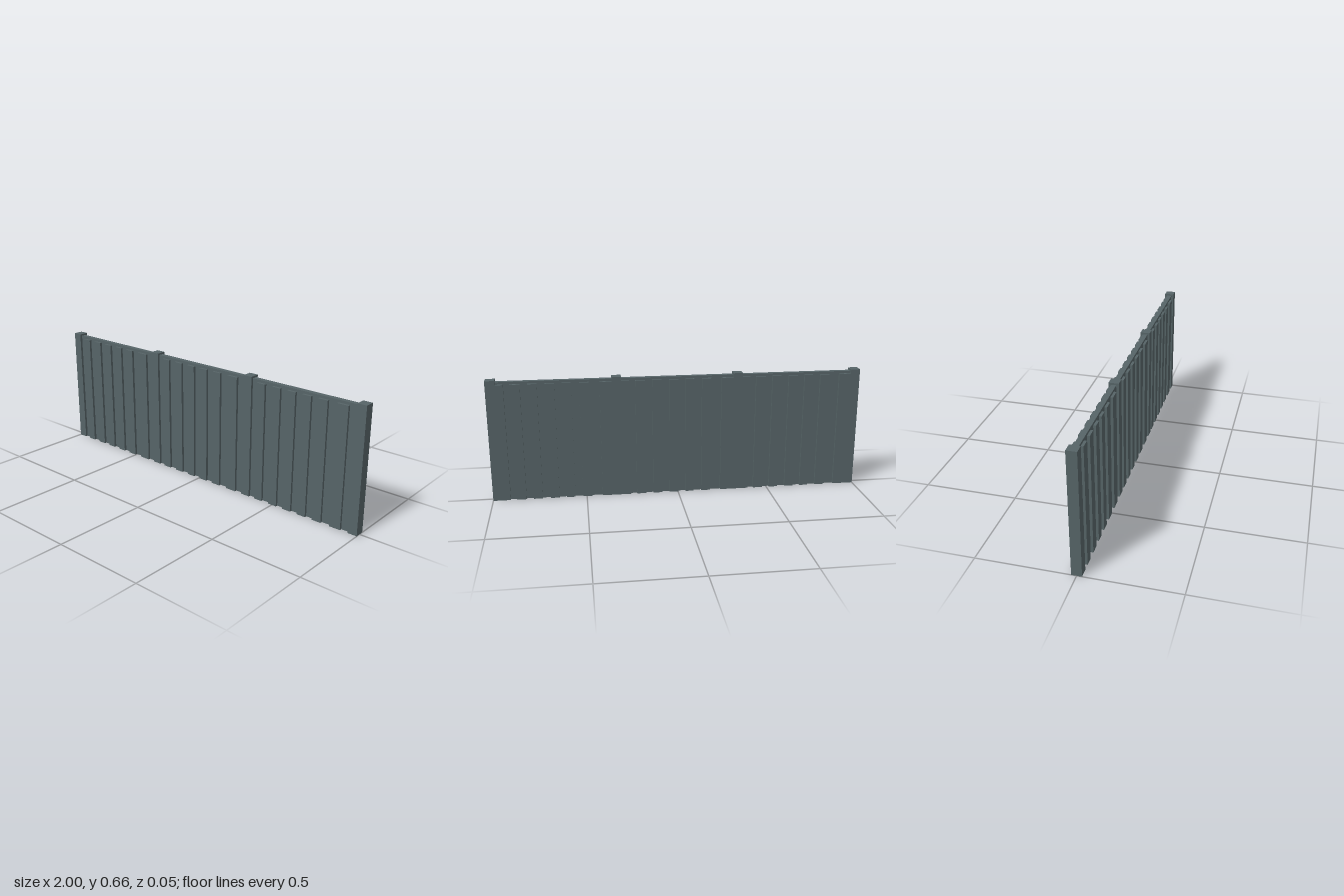
import * as THREE from 'three';

export function createModel() {
  const fence = new THREE.Group();
  fence.name = 'fence';
  const slate = new THREE.MeshStandardMaterial({ color: 0x566467 });
  slate.name = 'slate paint';

  // Box given by its extents, standing on the ground
  const slab = (name, x0, x1, height, z0, z1) => {
    const mesh = new THREE.Mesh(new THREE.BoxGeometry(x1 - x0, height, z1 - z0), slate);
    mesh.position.set((x0 + x1) / 2, height / 2, (z0 + z1) / 2);
    mesh.name = name;
    fence.add(mesh);
  };

  const half = 0.026;   // half depth of the posts
  const core = 0.013;   // half depth of the infill panel
  const pitch = 0.65;   // distance from post to post
  const postWidth = 0.05;

  // Posts
  for (let i = 0; i < 4; i++) {
    const x = -1 + i * pitch;
    slab('post', x, x + postWidth, 0.66, -half, half);
  }

  // Plank spans measured from the start of each bay
  const frontPlanks = [[0.035, 0.083], [0.126, 0.176], [0.217, 0.265],
    [0.306, 0.354], [0.394, 0.446], [0.495, 0.557]];
  const backPlanks = [[0, 0.064], [0.12, 0.17], [0.212, 0.258],
    [0.298, 0.346], [0.387, 0.436], [0.474, 0.526], [0.558, 0.6]];

  // Bays: a thin panel with planks on both faces
  for (let i = 0; i < 3; i++) {
    const start = -1 + postWidth + i * pitch;
    slab('panel', start, start + pitch - postWidth, 0.65, -core, core);
    for (const [a, b] of frontPlanks) slab('frontPlank', start + a, start + b, 0.637, core, half);
    for (const [a, b] of backPlanks) slab('backPlank', start + a, start + b, 0.637, -half, -core);
  }
  return fence;
}
